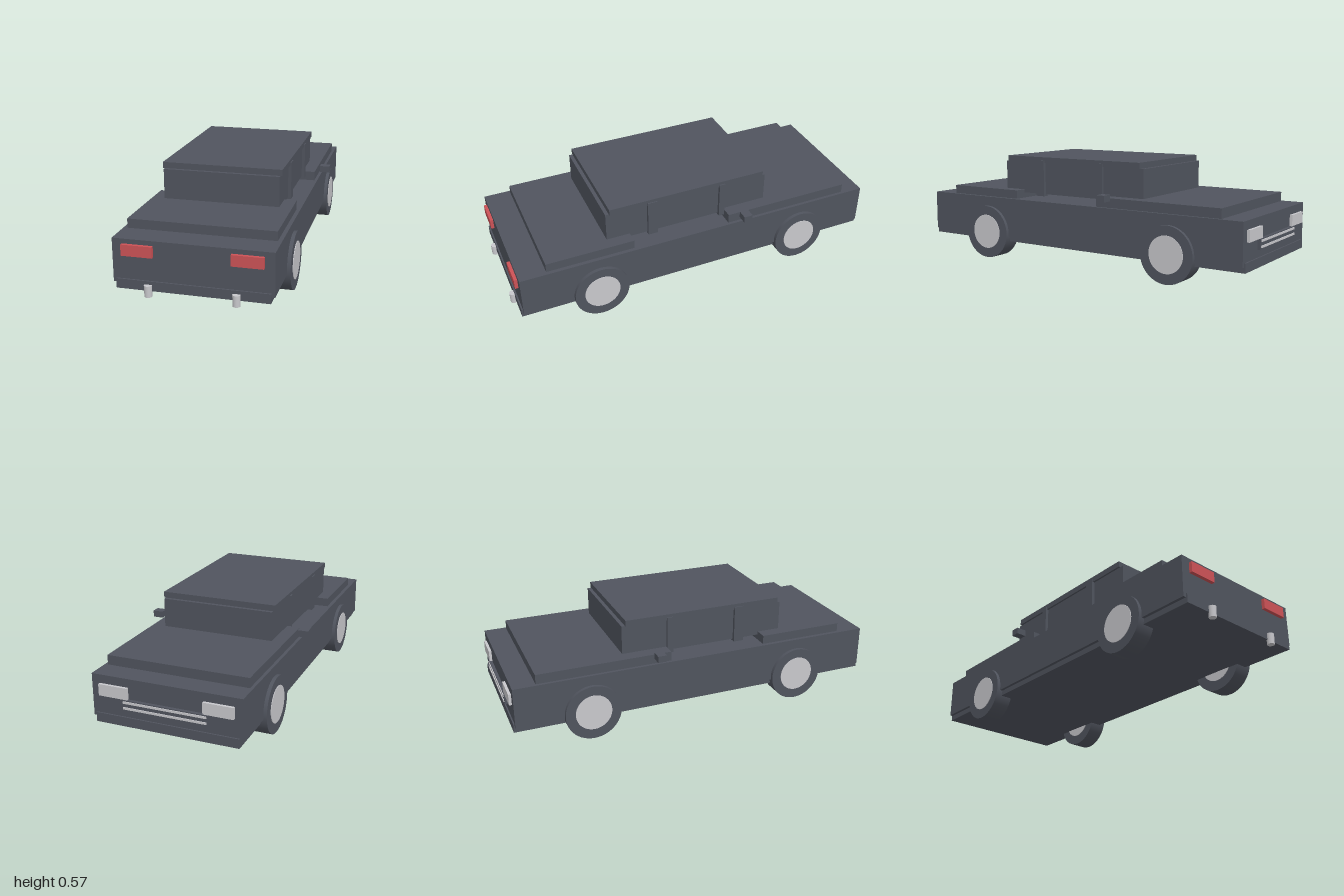
import * as THREE from 'three';

export function createModel() {
  const car = new THREE.Group();
  car.name = 'car';

  const paint = (name, color) => {
    const m = new THREE.MeshStandardMaterial({ color });
    m.name = name;
    return m;
  };
  const slate = paint('slate', 0x50545e);
  const silver = paint('silver', 0xc8c8cc);
  const red = paint('red', 0xcc5256);

  const add = (name, geometry, material, x, y, z) => {
    const mesh = new THREE.Mesh(geometry, material);
    mesh.name = name;
    mesh.position.set(x, y, z);
    car.add(mesh);
    return mesh;
  };
  // Box given by its limits along x, y and z
  const box = (name, material, [x0, x1], [y0, y1], [z0, z1]) =>
    add(name, new THREE.BoxGeometry(x1 - x0, y1 - y0, z1 - z0), material,
      (x0 + x1) / 2, (y0 + y1) / 2, (z0 + z1) / 2);
  // Pair of boxes mirrored across x = 0
  const pair = (name, material, [x0, x1], y, z) => {
    box(name + 'Left', material, [x0, x1], y, z);
    box(name + 'Right', material, [-x1, -x0], y, z);
  };

  // Body shell, sill, deck and bonnet
  box('body', slate, [-0.38, 0.38], [0.128, 0.341], [-0.98, 0.968]);
  box('sill', slate, [-0.364, 0.364], [0.1, 0.147], [-0.987, 0.976]);
  box('bootLid', slate, [-0.36, 0.36], [0.33, 0.387], [0.367, 0.828]);
  box('bonnet', slate, [-0.364, 0.364], [0.33, 0.39], [-0.863, -0.162]);

  // Cabin, roof and door pillars
  box('cabin', slate, [-0.296, 0.296], [0.37, 0.54], [-0.402, 0.491]);
  box('roof', slate, [-0.306, 0.306], [0.54, 0.571], [-0.383, 0.472]);
  pair('rearPillar', slate, [0.28, 0.312], [0.36, 0.555], [0.217, 0.27]);
  pair('frontPillar', slate, [0.28, 0.312], [0.36, 0.555], [-0.162, -0.13]);
  pair('mirror', slate, [0.386, 0.44], [0.378, 0.412], [-0.262, -0.215]);

  // Lights
  pair('tailLight', red, [0.183, 0.333], [0.264, 0.318], [0.965, 0.985]);
  pair('headlight', silver, [0.19, 0.34], [0.24, 0.298], [-0.994, -0.975]);

  // Grille with two bright bars
  box('grille', slate, [-0.217, 0.217], [0.185, 0.239], [-0.996, -0.975]);
  for (const y of [0.194, 0.223]) {
    box('grilleBar', silver, [-0.21, 0.21], [y, y + 0.011], [-1, -0.99]);
  }

  // Wheels: tyre with a hub showing on both faces
  const tyre = new THREE.CylinderGeometry(0.145, 0.145, 0.097, 48).rotateZ(Math.PI / 2);
  const hub = new THREE.CylinderGeometry(0.094, 0.094, 0.103, 48).rotateZ(Math.PI / 2);
  for (const side of [-1, 1]) {
    for (const z of [0.56, -0.59]) {
      add('tyre', tyre, slate, side * 0.3495, 0.145, z);
      add('hub', hub, silver, side * 0.3495, 0.147, z);
    }
    // Exhaust pipe
    add('exhaust', new THREE.CylinderGeometry(0.019, 0.018, 0.056, 20), silver,
      side * 0.208, 0.103, 0.981);
  }
  return car;
}
